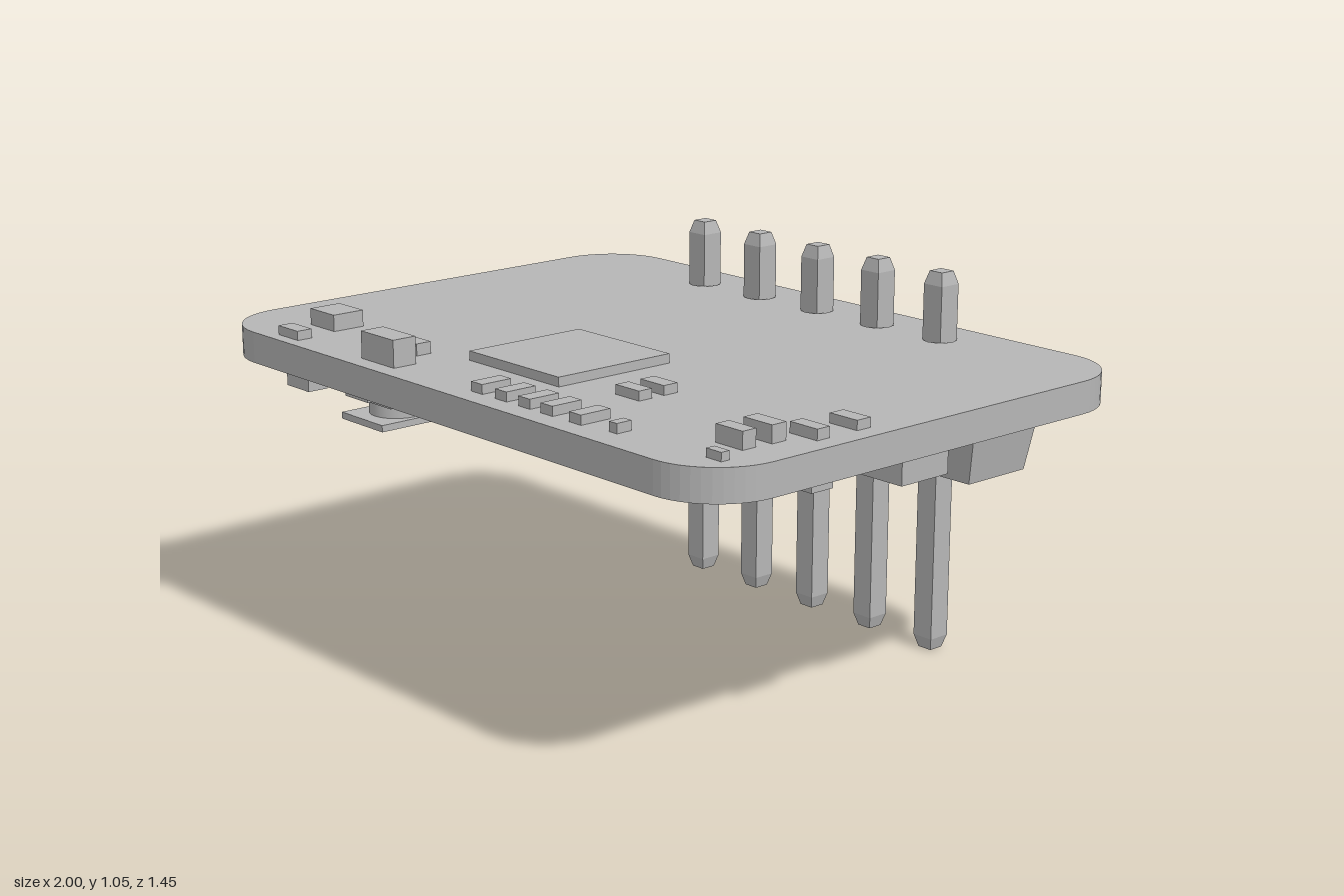
import * as THREE from 'three';

const grey = new THREE.MeshStandardMaterial({ color: 0xb6b6b6 });
grey.name = 'plain grey';

const BOARD_TOP = 0.865, BOARD_BOTTOM = 0.78;

function add(parent, name, geometry, x = 0, y = 0, z = 0) {
  const mesh = new THREE.Mesh(geometry, grey);
  mesh.name = name;
  mesh.position.set(x, y, z);
  parent.add(mesh);
  return mesh;
}

// Upright prism: shape in plan (x, z), from y0 up to y1
function prism(shape, y0, y1) {
  return new THREE.ExtrudeGeometry(shape, { depth: y1 - y0, bevelEnabled: false, curveSegments: 6 })
    .rotateX(Math.PI / 2).translate(0, y1, 0);
}

const polygon = (points) => new THREE.Shape(points.map(([x, z]) => new THREE.Vector2(x, z)));

// Box given by its limits
function block(parent, name, x0, x1, y0, y1, z0, z1) {
  return add(parent, name, new THREE.BoxGeometry(x1 - x0, y1 - y0, z1 - z0),
    (x0 + x1) / 2, (y0 + y1) / 2, (z0 + z1) / 2);
}

// Box whose lower face is scaled in
function taperedDown(w, h, d, sx, sz) {
  const g = new THREE.BoxGeometry(w, h, d).toNonIndexed();
  const p = g.attributes.position;
  for (let i = 0; i < p.count; i++) {
    if (p.getY(i) < 0) p.setXYZ(i, p.getX(i) * sx, p.getY(i), p.getZ(i) * sz);
  }
  g.computeVertexNormals();
  return g;
}

// Square bar, narrowed at both ends
function pinGeometry() {
  const profile = [[0, 0], [0.022, 0], [0.032, 0.035], [0.032, 1.015], [0.022, 1.05], [0, 1.05]]
    .map(([r, y]) => new THREE.Vector2(r * Math.SQRT2, y));
  const g = new THREE.LatheGeometry(profile, 4).rotateY(Math.PI / 4).toNonIndexed();
  g.computeVertexNormals();
  return g;
}

export function createModel() {
  const model = new THREE.Group();
  model.name = 'circuitBoardModule';
  const pinX = [-0.46, -0.23, 0, 0.23, 0.46], pinZ = -0.598;

  // Rounded board with pin holes
  const r = 0.19, z0 = -0.73, z1 = 0.72;
  const outline = new THREE.Shape();
  outline.moveTo(-1 + r, z0);
  outline.absarc(1 - r, z0 + r, r, -Math.PI / 2, 0);
  outline.absarc(1 - r, z1 - r, r, 0, Math.PI / 2);
  outline.absarc(-1 + r, z1 - r, r, Math.PI / 2, Math.PI);
  outline.absarc(-1 + r, z0 + r, r, Math.PI, Math.PI * 1.5);
  for (const x of pinX) {
    const hole = new THREE.Path();
    hole.absarc(x, pinZ, 0.046, 0, Math.PI * 2, true);
    outline.holes.push(hole);
  }
  add(model, 'board', prism(outline, BOARD_BOTTOM, BOARD_TOP));

  // Pin header: chamfered segments with two rails against the board
  const header = new THREE.Group();
  header.name = 'pinHeader';
  model.add(header);
  const w = 0.115, c = 0.028, back = -0.71, front = -0.475;
  const body = polygon([[-w + c, back], [w - c, back], [w, back + c], [w, front - c],
    [w - c, front], [-w + c, front], [-w, front - c], [-w, back + c]]);
  const backRail = polygon([[-w + c, back], [w - c, back], [w, back + c], [w, -0.655], [-w, -0.655], [-w, back + c]]);
  const frontRail = polygon([[-w, -0.525], [w, -0.525], [w, front - c], [w - c, front], [-w + c, front], [-w, front - c]]);
  for (const x of pinX) {
    add(header, 'headerSegment', prism(body, 0.55, 0.73), x);
    add(header, 'headerBackRail', prism(backRail, 0.73, BOARD_BOTTOM), x);
    add(header, 'headerFrontRail', prism(frontRail, 0.73, BOARD_BOTTOM), x);
    add(header, 'pin', pinGeometry(), x, 0, pinZ);
  }

  // Parts on the upper side: x0, x1, z0, z1, top
  const upper = new THREE.Group();
  upper.name = 'upperParts';
  model.add(upper);
  block(upper, 'mainChip', -0.18, 0.18, BOARD_TOP, 0.89, 0.11, 0.475);
  const topParts = [
    [-0.78, -0.67, 0.46, 0.555, 0.91], [-0.74, -0.65, 0.64, 0.685, 0.89],
    [-0.4, -0.305, 0.505, 0.55, 0.897], [-0.38, -0.24, 0.6, 0.67, 0.938],
    [0.855, 0.945, 0.165, 0.21, 0.89], [0.855, 0.945, 0.3, 0.34, 0.893],
    [0.8, 0.895, 0.39, 0.435, 0.91], [0.8, 0.89, 0.48, 0.522, 0.91],
    [0.875, 0.925, 0.595, 0.62, 0.887],
    [0.325, 0.412, 0.29, 0.335, 0.89], [0.325, 0.412, 0.373, 0.415, 0.89],
    [0.57, 0.598, 0.6, 0.645, 0.89],
  ];
  for (const x of [0.09, 0.185, 0.275, 0.36, 0.465]) topParts.push([x - 0.022, x + 0.022, 0.57, 0.66, 0.89]);
  for (const [a, b, c0, d, top] of topParts) block(upper, 'smallComponent', a, b, BOARD_TOP, top, c0, d);

  // Parts on the underside
  const lower = new THREE.Group();
  lower.name = 'lowerParts';
  model.add(lower);
  add(lower, 'socket', taperedDown(0.43, 0.14, 0.235, 0.88, 0.87), 0.7, 0.7, -0.35);
  block(lower, 'socketBase', 0.5, 0.9, 0.765, BOARD_BOTTOM, -0.46, -0.24);
  for (const x of [0.57, 0.83]) block(lower, 'socketFoot', x - 0.05, x + 0.05, 0.74, BOARD_BOTTOM, -0.23, -0.14);
  add(lower, 'socketKnob', new THREE.CylinderGeometry(0.06, 0.06, 0.04, 20), 0.68, 0.76, -0.462);

  // Round connector with base, neck and flange
  block(lower, 'connectorBase', -0.49, -0.33, 0.73, BOARD_BOTTOM, 0.46, 0.62);
  for (const s of [-1, 1]) block(lower, 'connectorTab', -0.46, -0.36, 0.75, BOARD_BOTTOM, 0.54 + s * 0.1 - 0.03, 0.54 + s * 0.1 + 0.03);
  add(lower, 'connectorNeck', new THREE.CylinderGeometry(0.075, 0.075, 0.05, 24), -0.41, 0.715, 0.54);
  block(lower, 'connectorFlange', -0.5, -0.32, 0.677, 0.695, 0.43, 0.655);

  // Remaining blocks: x0, x1, z0, z1, bottom
  const bottomParts = [
    [0.81, 0.96, -0.09, 0.07, 0.705], [0.5, 0.74, 0.05, 0.3, 0.757],
    [0.12, 0.3, 0.39, 0.57, 0.735], [0.1, 0.32, 0.42, 0.46, 0.755], [0.1, 0.32, 0.51, 0.55, 0.755],
    [-0.75, -0.59, 0.3, 0.48, 0.733], [-0.76, -0.7, 0.49, 0.54, 0.755],
    [0.6, 0.7, -0.1, -0.01, 0.735], [0.29, 0.41, -0.36, -0.25, 0.74],
    [0.83, 0.93, 0.27, 0.34, 0.735], [0.8, 0.9, 0.13, 0.19, 0.74],
    [0.36, 0.41, 0.57, 0.64, 0.745], [-0.3, -0.22, -0.18, -0.12, 0.75],
    [-0.14, -0.06, -0.12, -0.06, 0.75], [-0.65, -0.57, 0.19, 0.25, 0.745],
    [-0.44, -0.36, 0.3, 0.36, 0.745], [-0.23, -0.16, 0.42, 0.48, 0.75],
    [-0.7, -0.6, 0.63, 0.69, 0.735],
  ];
  for (const [a, b, c0, d, y] of bottomParts) block(lower, 'smallComponent', a, b, y, BOARD_BOTTOM, c0, d);
  add(lower, 'smallKnob', new THREE.CylinderGeometry(0.025, 0.025, 0.045, 16), 0.69, 0.758, 0.47);

  return model;
}
